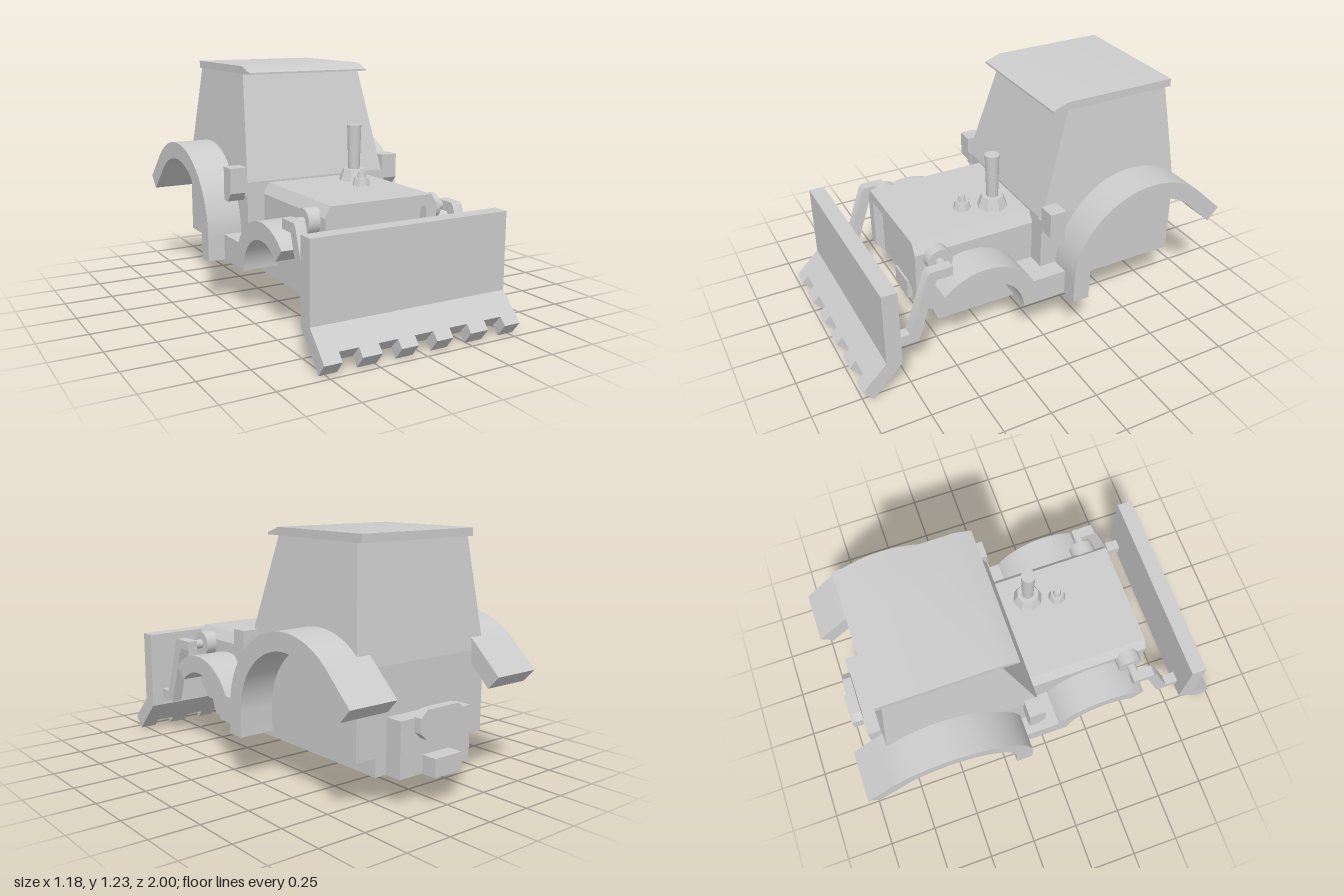
import * as THREE from 'three';
import { toCreasedNormals } from 'three/addons/utils/BufferGeometryUtils.js';

const paint = new THREE.MeshStandardMaterial({ color: 0xcccccc });
paint.name = 'light grey';

export function createModel() {
  const model = new THREE.Group();
  model.name = 'bulldozer tractor';

  function add(name, geometry, x = 0, y = 0, z = 0) {
    const mesh = new THREE.Mesh(geometry, paint);
    mesh.name = name;
    mesh.position.set(x, y, z);
    model.add(mesh);
    return mesh;
  }
  const outline = (pts) => new THREE.Shape(pts.map(([a, b]) => new THREE.Vector2(a, b)));
  const box = (name, x0, x1, y0, y1, z0, z1) =>
    add(name, new THREE.BoxGeometry(x1 - x0, y1 - y0, z1 - z0), (x0 + x1) / 2, (y0 + y1) / 2, (z0 + z1) / 2);

  // Side profile in (z, y), extruded from x0 to x1
  function across(name, shape, x0, x1) {
    const g = new THREE.ExtrudeGeometry(shape, { depth: x1 - x0, bevelEnabled: false, curveSegments: 24 });
    g.rotateY(-Math.PI / 2);
    return add(name, toCreasedNormals(g, 0.5), x1);
  }
  // Front profile in (x, y), extruded from z0 to z1
  function along(name, shape, z0, z1) {
    return add(name, new THREE.ExtrudeGeometry(shape, { depth: z1 - z0, bevelEnabled: false }), 0, 0, z0);
  }
  function bothSides(name, shape, x0, x1) {
    across('left ' + name, shape, x0, x1);
    across('right ' + name, shape, -x1, -x0);
  }

  // Chassis and engine hood, with a framed recess at the nose
  across('chassis', outline([[0.5, 0.145], [0.54, 0.235], [-0.83, 0.235], [-0.83, 0.145]]), -0.29, 0.29);
  across('hood', outline([[0.54, 0.235], [0.57, 0.26], [0.57, 0.59], [-0.03, 0.59], [-0.03, 0.235]]), -0.31, 0.31);
  along('hood top', outline([[-0.315, 0.585], [0.315, 0.585], [0.28, 0.64], [-0.28, 0.64]]), -0.05, 0.618);
  bothSides('nose frame', outline([[0.57, 0.26], [0.618, 0.315], [0.618, 0.585], [0.57, 0.585]]), 0.25, 0.31);
  box('front tow hook', -0.08, 0.08, 0.165, 0.27, 0.54, 0.58);

  // Cab: lower body and tapered upper part
  box('lower cab body', -0.405, 0.405, 0.235, 0.65, -0.83, -0.025);
  const cab = new THREE.BoxGeometry(2, 0.54, 2);
  const p = cab.attributes.position;
  for (let i = 0; i < p.count; i++) {
    const top = p.getY(i) > 0;
    p.setX(i, p.getX(i) * (top ? 0.347 : 0.405));
    p.setZ(i, p.getZ(i) > 0 ? (top ? -0.19 : -0.025) : (top ? -0.76 : -0.83));
  }
  cab.computeVertexNormals();
  add('upper cab', cab, 0, 0.92, 0);
  across('roof', outline([[-0.105, 1.19], [-0.105, 1.2], [-0.19, 1.23], [-0.79, 1.23], [-0.79, 1.19]]), -0.35, 0.35);

  // Rear fenders: arch with a straight sloping tail
  const rear = new THREE.Shape();
  rear.moveTo(-0.115, 0.235);
  rear.lineTo(-0.115, 0.36);
  rear.absarc(-0.555, 0.36, 0.44, 0, Math.PI * 0.75, false);
  rear.lineTo(-1, 0.545);
  rear.lineTo(-0.94, 0.48);
  rear.absarc(-0.555, 0.36, 0.35, Math.PI * 0.75, 0, true);
  rear.lineTo(-0.205, 0.235);
  bothSides('rear fender', rear, 0.325, 0.59);

  // Front fenders: arch running into a step
  const front = new THREE.Shape();
  front.moveTo(0.12, 0.235);
  front.absarc(0.335, 0.225, 0.215, Math.PI - 0.05, Math.PI / 4, true);
  front.absarc(0.335, 0.225, 0.305, Math.PI / 4, Math.PI - 0.495, false);
  front.lineTo(-0.115, 0.37);
  front.lineTo(-0.115, 0.235);
  bothSides('front fender and step', front, 0.3, 0.5);

  // Side lamps beside the cab
  bothSides('side lamp', outline([[-0.02, 0.6], [-0.02, 0.73], [-0.105, 0.73], [-0.105, 0.555], [-0.06, 0.555]]), 0.41, 0.5);
  bothSides('lamp bracket', outline([[-0.02, 0.58], [-0.02, 0.65], [-0.105, 0.65], [-0.105, 0.58]]), 0.38, 0.42);

  // Lifting arms with round pivots and pins
  const arm = outline([[0.49, 0.53], [0.575, 0.53], [0.68, 0.205], [0.8, 0.205], [0.8, 0.26],
    [0.725, 0.26], [0.62, 0.565], [0.605, 0.58], [0.49, 0.58]]);
  bothSides('lifting arm', arm, 0.41, 0.465);
  for (const s of [-1, 1]) {
    const pivot = add('arm pivot', new THREE.CylinderGeometry(0.065, 0.065, 0.07, 24), s * 0.335, 0.555, 0.51);
    const pin = add('arm pin', new THREE.CylinderGeometry(0.025, 0.025, 0.09, 16), s * 0.4, 0.555, 0.515);
    pivot.rotation.z = pin.rotation.z = Math.PI / 2;
  }

  // Dozer blade with six teeth along the cutting edge
  across('blade', outline([[0.875, 0.58], [0.795, 0.58], [0.795, 0.165], [0.915, 0.04], [0.967, 0.098], [0.875, 0.19]]), -0.53, 0.53);
  const tooth = outline([[0.915, 0.04], [0.95, 0], [1, 0.062], [0.967, 0.098]]);
  for (const [a, b] of [[0.05, 0.14], [0.24, 0.34], [0.44, 0.53]]) bothSides('blade tooth', tooth, a, b);

  // Exhaust pipe and filler cap on the hood
  const flat = (r1, r0, h) => toCreasedNormals(new THREE.CylinderGeometry(r1, r0, h, 8), 0.1);
  add('exhaust base', flat(0.058, 0.08, 0.06), 0.145, 0.67, 0.115);
  add('exhaust pipe', new THREE.CylinderGeometry(0.037, 0.03, 0.24, 20), 0.145, 0.81, 0.115);
  add('filler base', flat(0.036, 0.047, 0.04), 0.1, 0.66, 0.265);
  add('filler cap', flat(0.016, 0.024, 0.035), 0.1, 0.695, 0.265);

  // Rear hitch
  box('hitch plate', -0.225, 0.225, 0.145, 0.415, -0.92, -0.83);
  along('hitch octagon', outline([[-0.1, 0.315], [0.1, 0.315], [0.14, 0.35], [0.14, 0.42],
    [0.1, 0.455], [-0.1, 0.455], [-0.14, 0.42], [-0.14, 0.35]]), -0.96, -0.915);
  box('hitch block', -0.085, 0.085, 0.145, 0.235, -1, -0.915);

  return model;
}
